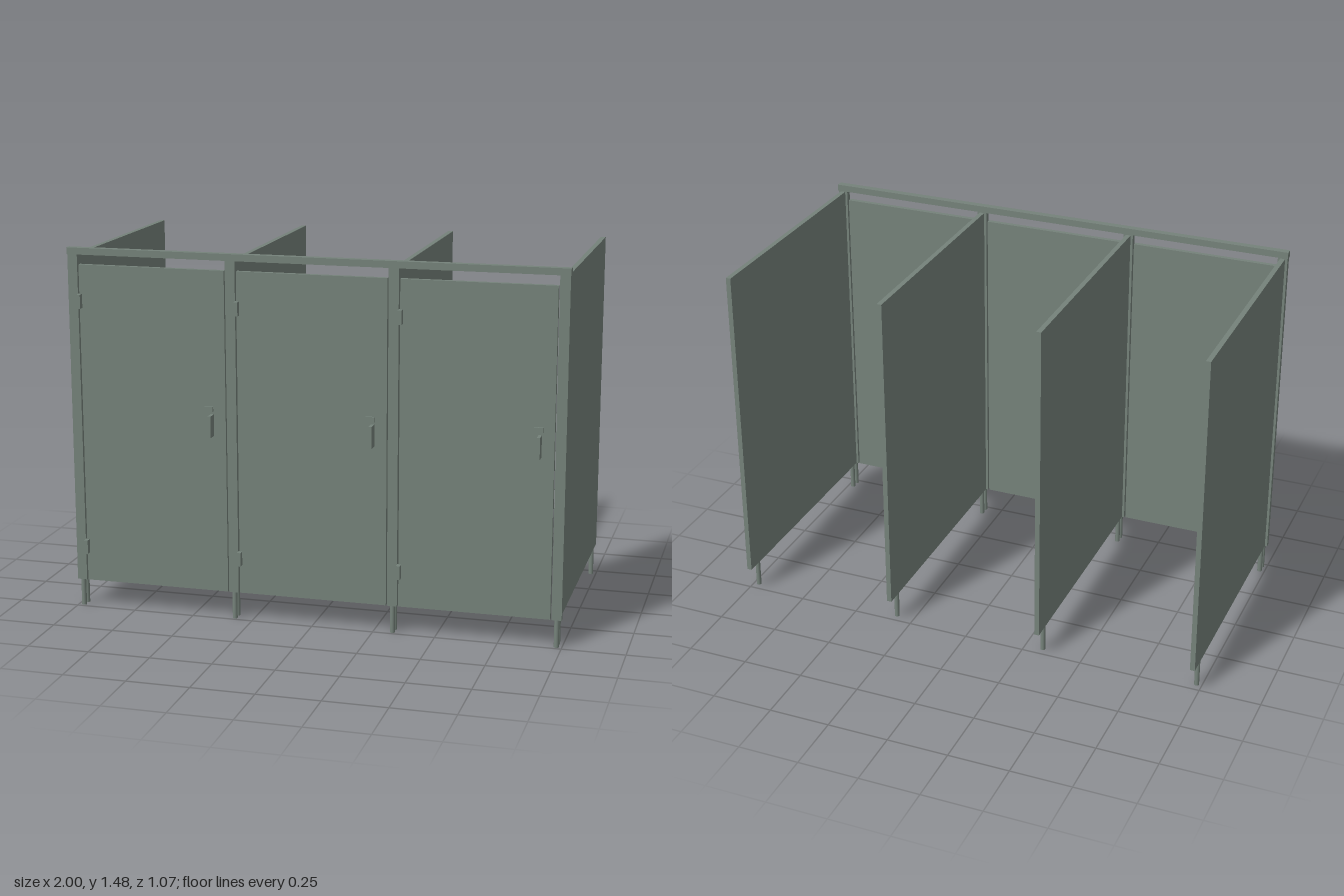
import * as THREE from 'three';

export function createModel() {
  const model = new THREE.Group();
  model.name = 'cubicleRow';
  const laminate = new THREE.MeshStandardMaterial({ color: 0x75827a });
  laminate.name = 'greyGreenLaminate';

  // Box given by its limits on each axis
  function box(parent, name, [x0, x1], [y0, y1], [z0, z1]) {
    const mesh = new THREE.Mesh(new THREE.BoxGeometry(x1 - x0, y1 - y0, z1 - z0), laminate);
    mesh.position.set((x0 + x1) / 2, (y0 + y1) / 2, (z0 + z1) / 2);
    mesh.name = name;
    parent.add(mesh);
  }

  const base = 0.112;    // underside of the panels
  const spacing = 0.652; // distance between partitions

  // Header rail across the front
  box(model, 'headerRail', [-1, 1], [1.455, 1.482], [0.467, 0.496]);

  // Partitions, each with a front post and three round legs
  for (let i = 0; i < 4; i++) {
    const bay = new THREE.Group();
    bay.name = 'partition' + (i + 1);
    bay.position.x = (i - 1.5) * spacing;
    box(bay, 'sidePanel', [-0.01, 0.01], [base, 1.452], [-0.535, 0.47]);
    box(bay, 'frontPost', [-0.02, 0.02], [base, 1.455], [0.47, 0.493]);
    for (const z of [0.481, 0.446, -0.463]) {
      const leg = new THREE.Mesh(new THREE.CylinderGeometry(0.01, 0.01, base, 16), laminate);
      leg.name = 'leg';
      leg.position.set(0, base / 2, z);
      bay.add(leg);
    }
    model.add(bay);
  }

  // Doors with two hinges, a pull handle and a latch plate
  for (let i = 0; i < 3; i++) {
    const door = new THREE.Group();
    door.name = 'door' + (i + 1);
    door.position.x = (i - 1) * spacing;
    box(door, 'doorPanel', [-0.301, 0.301], [base, 1.415], [0.472, 0.491]);
    for (const y of [0.257, 1.27]) {
      box(door, 'hinge', [-0.306, -0.29], [y - 0.028, y + 0.028], [0.488, 0.514]);
    }
    box(door, 'handle', [0.239, 0.252], [0.755, 0.842], [0.49, 0.533]);
    box(door, 'latchPlate', [0.228, 0.263], [0.862, 0.882], [0.529, 0.537]);
    model.add(door);
  }
  return model;
}
